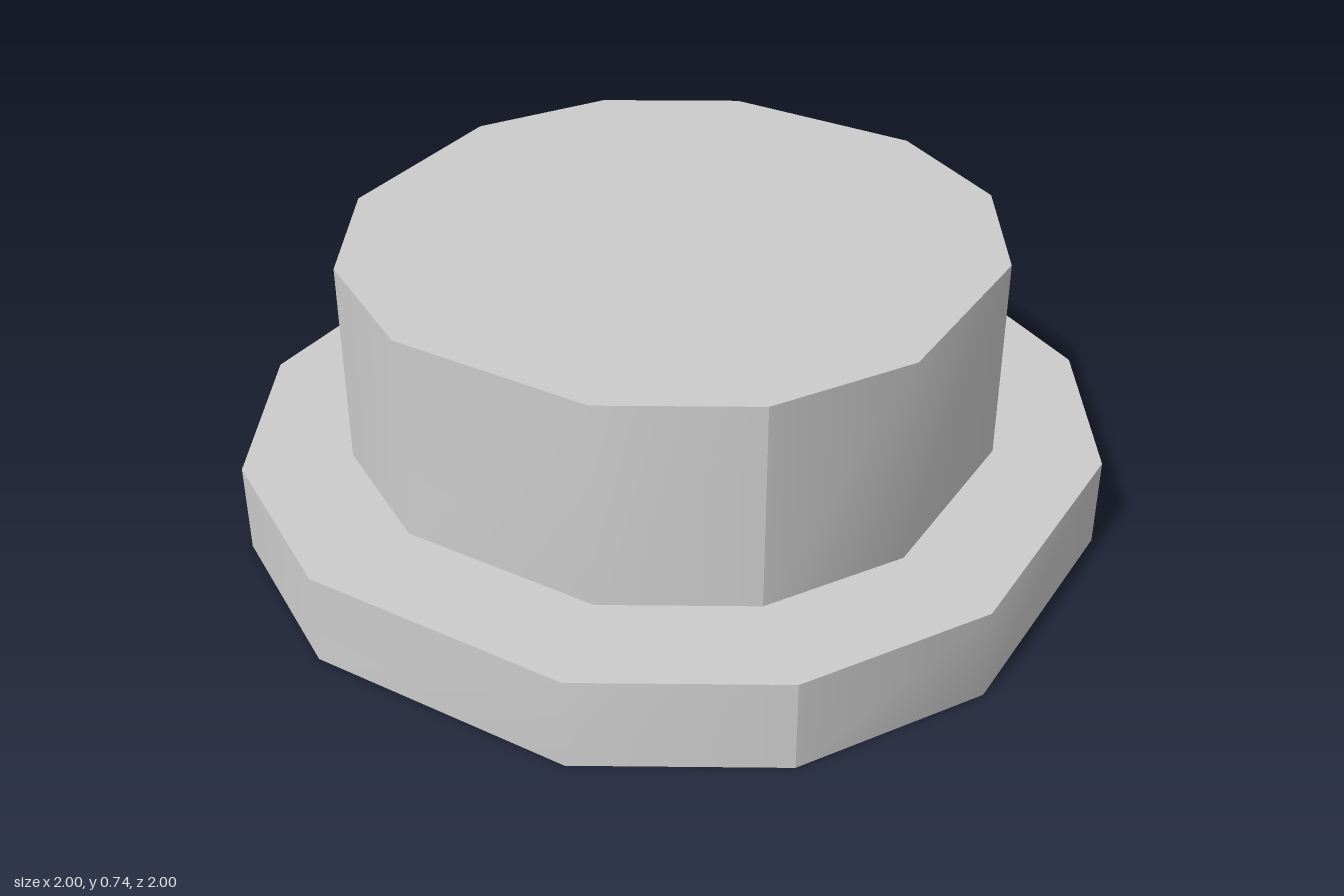
import * as THREE from 'three';
import { mergeGeometries } from 'three/addons/utils/BufferGeometryUtils.js';

// Quarter of the twelve-sided outline, left to right along the front (x, z)
const QUARTER = [[-0.754, 0.754], [-0.335, 1], [0.335, 1], [0.754, 0.754]];

// Prism with each quarter of its wall smooth and hard edges between quarters
function prism(scale, bottom, top) {
  const pieces = [];

  // Wall: one bent strip, turned around four times
  const strip = new THREE.PlaneGeometry(1, 1, 3, 1);
  const pos = strip.attributes.position;
  for (let i = 0; i < pos.count; i++) {
    const [x, z] = QUARTER[i % 4];
    pos.setXYZ(i, x * scale, i < 4 ? top : bottom, z * scale);
  }
  strip.computeVertexNormals();
  for (let q = 0; q < 4; q++) pieces.push(strip.clone().rotateY(q * Math.PI / 2));

  // Flat caps: the outline is symmetric, so one shape serves both ends
  const outline = [];
  for (let q = 0; q < 4; q++) {
    for (const [x, z] of QUARTER.slice(0, 3)) {
      outline.push(new THREE.Vector2(x * scale, z * scale).rotateAround(new THREE.Vector2(), -q * Math.PI / 2));
    }
  }
  const cap = new THREE.ShapeGeometry(new THREE.Shape(outline));
  pieces.push(cap.clone().rotateX(-Math.PI / 2).translate(0, top, 0));
  pieces.push(cap.clone().rotateX(Math.PI / 2).translate(0, bottom, 0));
  return mergeGeometries(pieces);
}

export function createModel() {
  const group = new THREE.Group();
  group.name = 'steppedButton';
  const material = new THREE.MeshStandardMaterial({ color: 0xcccccc });

  const add = (name, ...size) => {
    const mesh = new THREE.Mesh(prism(...size), material);
    mesh.name = name;
    group.add(mesh);
  };

  // Wide flange with a narrower raised plug on it
  add('baseFlange', 1, 0, 0.227);
  add('raisedPlug', 0.752, 0.227, 0.737);
  return group;
}
